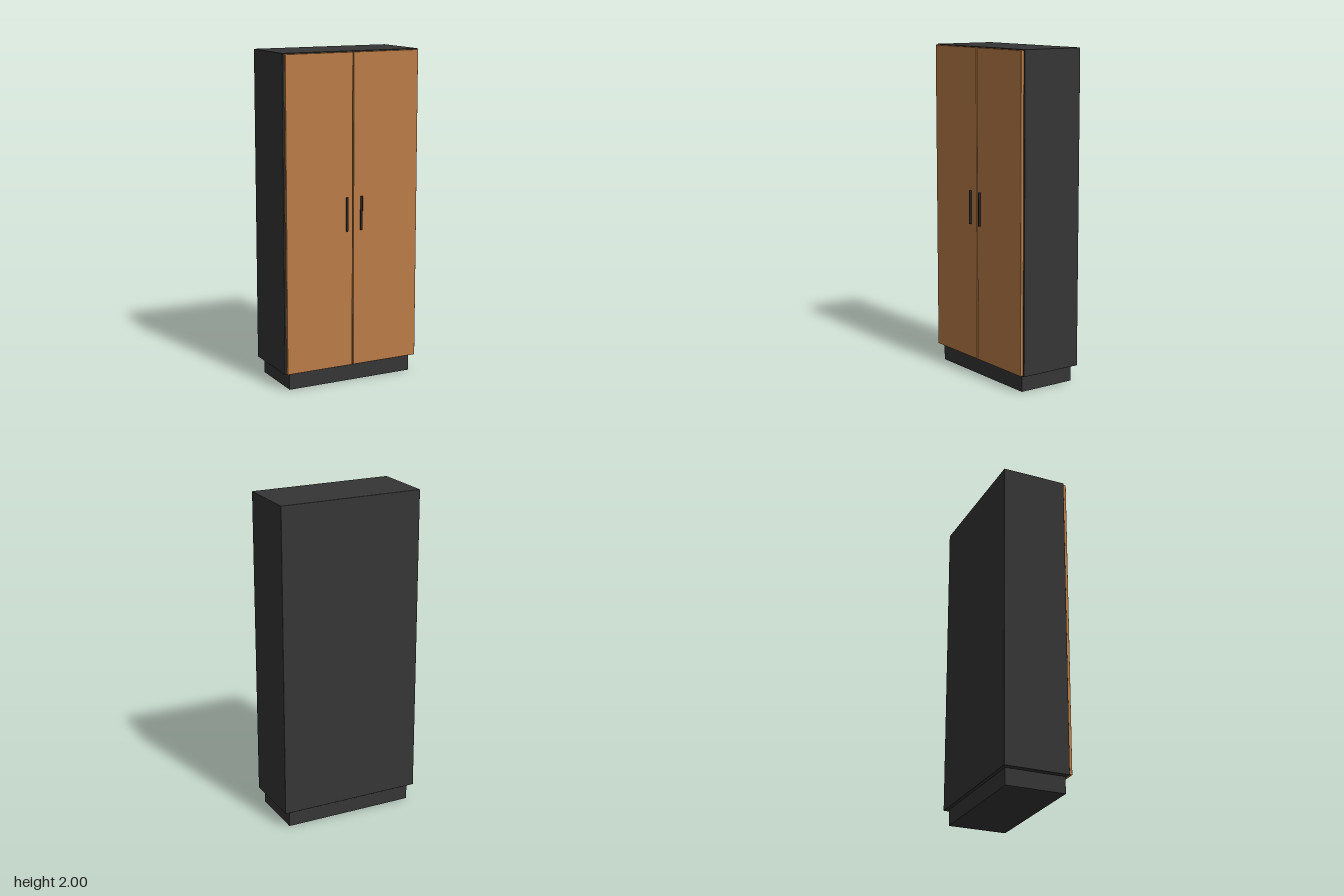
import * as THREE from 'three';
import { RoundedBoxGeometry } from 'three/addons/geometries/RoundedBoxGeometry.js';

export function createModel() {
  const group = new THREE.Group();
  const charcoal = new THREE.MeshStandardMaterial({ name: 'charcoal', color: 0x353535 });
  const wood = new THREE.MeshStandardMaterial({ name: 'warm wood', color: 0xbb7d47 });
  const black = new THREE.MeshStandardMaterial({ name: 'handle black', color: 0x262626 });

  const add = (name, geometry, material, x, y, z) => {
    const mesh = new THREE.Mesh(geometry, material);
    mesh.name = name;
    mesh.position.set(x, y, z);
    group.add(mesh);
  };

  // Recessed plinth and the carcass standing on it
  add('plinth', new THREE.BoxGeometry(0.818, 0.1, 0.367), charcoal, 0, 0.05, -0.016);
  add('carcass', new RoundedBoxGeometry(0.888, 1.9, 0.4, 2, 0.003), charcoal, 0, 1.05, -0.022);

  // Pair of doors with slim upright bar handles beside the centre gap
  for (const [side, s] of [['left', 1], ['right', -1]]) {
    add(side + 'Door', new RoundedBoxGeometry(0.432, 1.89, 0.02, 2, 0.003), wood, s * 0.219, 1.05, 0.188);
    add(side + 'Handle', new THREE.CylinderGeometry(0.0075, 0.0075, 0.204, 20), black, s * 0.048, 1.042, 0.214);
  }
  return group;
}
